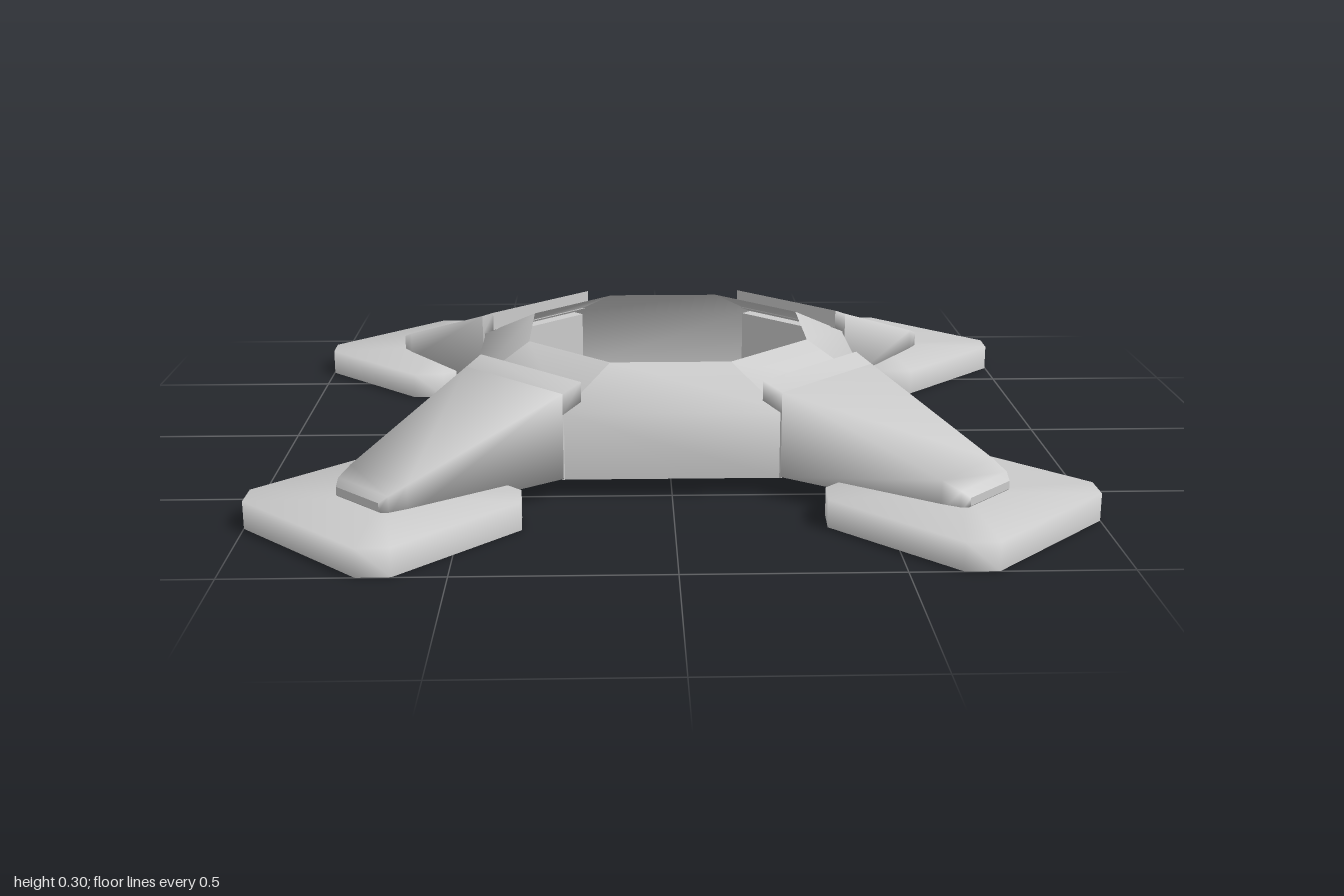
import * as THREE from 'three';
import { mergeGeometries } from 'three/addons/utils/BufferGeometryUtils.js';

const material = new THREE.MeshStandardMaterial({ color: 0xcccccc, side: THREE.DoubleSide });

// Smooth skin over a list of cross-sections
function loft(rings, closed = true) {
  const n = rings[0].length, index = [];
  for (let i = 0; i < rings.length - 1; i++) {
    for (let j = 0; j < (closed ? n : n - 1); j++) {
      const k = (j + 1) % n;
      const a = i * n + j, b = i * n + k, c = b + n, d = a + n;
      index.push(a, b, d, b, c, d);
    }
  }
  return finish(rings.flat(), index);
}

// Flat fan closing one cross-section
function cap(ring, flip = false) {
  const index = [];
  for (let j = 1; j < ring.length - 1; j++) {
    index.push(0, flip ? j + 1 : j, flip ? j : j + 1);
  }
  return finish(ring, index);
}

function finish(points, index) {
  const geometry = new THREE.BufferGeometry();
  geometry.setAttribute('position', new THREE.Float32BufferAttribute(points.flat(), 3));
  geometry.setIndex(index);
  geometry.computeVertexNormals();
  return geometry;
}

function part(name, geometry) {
  const mesh = new THREE.Mesh(geometry, material);
  mesh.name = name;
  return mesh;
}

// Open octagonal collar: upright wall with a sloping shoulder
function ringGeometry() {
  const rows = [[0.505, 0.265, 0.045], [0.505, 0.265, 0.215], [0.36, 0.15, 0.3]];
  const corners = rows.map(([a, b, y]) =>
    [[a, b], [a, -b], [b, -a], [-b, -a], [-a, -b], [-a, b], [-b, a], [b, a]]
      .map(([x, z]) => [x, y, z]));
  const facets = [];
  for (let k = 0; k < 8; k++) {
    facets.push(loft(corners.map((c) => [c[k], c[(k + 1) % 8]]), false));
  }
  return mergeGeometries(facets);
}

// Tapered strut with a lip resting on the collar's shoulder
function strutGeometry() {
  // distance from centre, half width, top, bottom
  const stations = [
    [0.495, 0.184, 0.285, 0.235],
    [0.55, 0.177, 0.265, 0.212],
    [0.55, 0.177, 0.265, 0.05],
    [0.97, 0.106, 0.125, 0.05],
    [1.015, 0.094, 0.107, 0.055],
    [1.033, 0.08, 0.092, 0.072],
  ];
  const rings = stations.map(([z, w, top, bottom]) =>
    [[w, bottom, z], [w, top, z], [-w, top, z], [-w, bottom, z]]);
  return mergeGeometries([loft(rings), cap(rings[0], true), cap(rings[5])]);
}

// Foot pad: hollow plate with cut corners
function padGeometry() {
  const outline = [
    [0.267, 1.145], [0.262, 0.764], [0.2, 0.707], [-0.2, 0.707],
    [-0.262, 0.764], [-0.267, 1.145], [-0.212, 1.202], [0.212, 1.202],
  ];
  const rings = [0, 0.068].map((y) => outline.map(([x, z]) => [x, y, z]));
  rings.push(outline.map(() => [0, 0.068, 0.955]));
  return loft(rings);
}

export function createModel() {
  const model = new THREE.Group();
  model.name = 'fourFootedBase';
  model.add(part('collar', ringGeometry()));

  const strut = strutGeometry();
  const pad = padGeometry();
  const mount = new THREE.BoxGeometry(0.345, 0.17, 0.04).translate(0, 0.13, 0.527);

  // Four identical legs on the diagonals
  for (let k = 0; k < 4; k++) {
    const leg = new THREE.Group();
    leg.name = 'leg';
    leg.add(part('strut', strut), part('footPad', pad), part('mountBlock', mount));
    leg.rotation.y = Math.PI / 4 + (k * Math.PI) / 2;
    model.add(leg);
  }
  return model;
}
